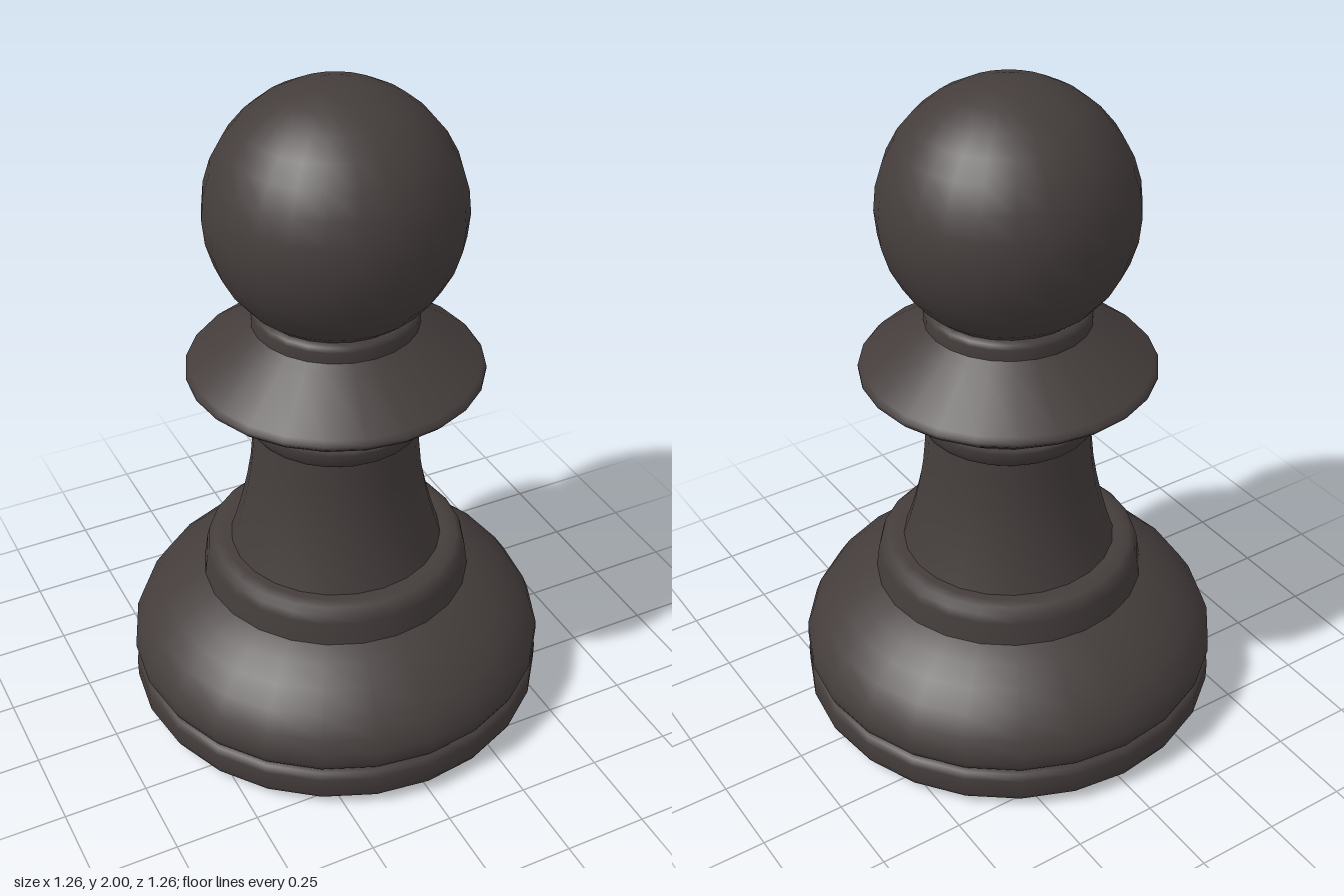
import * as THREE from 'three';

const SIDES = 24;

export function createModel() {
  const model = new THREE.Group();
  model.name = 'pawn';

  const ebony = new THREE.MeshStandardMaterial({ color: 0x443d3c });
  ebony.name = 'dark ebony';
  const felt = new THREE.MeshStandardMaterial({ color: 0xc09885 });
  felt.name = 'tan felt';

  function add(name, geometry, material = ebony) {
    const mesh = new THREE.Mesh(geometry, material);
    mesh.name = name;
    model.add(mesh);
    return mesh;
  }

  // Turned part from a bottom-to-top list of [radius, height]
  function turned(name, profile) {
    const points = profile.map(([r, y]) => new THREE.Vector2(r, y));
    return add(name, new THREE.LatheGeometry(points, SIDES));
  }

  // Felt pad underneath
  add('feltPad', new THREE.CylinderGeometry(0.58, 0.565, 0.03, SIDES), felt).position.y = 0.015;

  // Foot: thin ring with a domed base above it
  turned('footRing', [
    [0.5, 0.025], [0.6, 0.025], [0.62, 0.032], [0.632, 0.055],
    [0.632, 0.11], [0.622, 0.13], [0.605, 0.138], [0.5, 0.138],
  ]);
  turned('domedBase', [
    [0.5, 0.138], [0.605, 0.138], [0.622, 0.147], [0.632, 0.17], [0.63, 0.205],
    [0.613, 0.25], [0.577, 0.305], [0.52, 0.357], [0.46, 0.4], [0.4, 0.432], [0.3, 0.475],
  ]);
  turned('baseCollar', [
    [0.405, 0.425], [0.402, 0.45], [0.395, 0.5], [0.388, 0.525],
    [0.37, 0.541], [0.34, 0.545], [0.22, 0.545],
  ]);

  // Flared stem
  turned('stem', [
    [0.32, 0.54], [0.3, 0.6], [0.281, 0.67], [0.265, 0.74],
    [0.253, 0.81], [0.246, 0.88], [0.24, 0.96],
  ]);

  // Neck: small ring, sharp-edged disc, upper ring
  turned('lowerNeckRing', [
    [0.2, 0.95], [0.24, 0.95], [0.253, 0.957], [0.262, 0.975],
    [0.27, 1.004], [0.264, 1.012], [0.2, 1.012],
  ]);
  turned('neckDisc', [
    [0.245, 1.008], [0.265, 1.02], [0.418, 1.128], [0.43, 1.14],
    [0.43, 1.15], [0.418, 1.164], [0.27, 1.27], [0.235, 1.295],
  ]);
  turned('upperNeckRing', [
    [0.24, 1.285], [0.24, 1.3], [0.24, 1.325], [0.236, 1.339], [0.222, 1.348], [0.15, 1.348],
  ]);

  // Ball head
  add('head', new THREE.SphereGeometry(0.365, SIDES, 16)).position.y = 1.635;

  return model;
}
